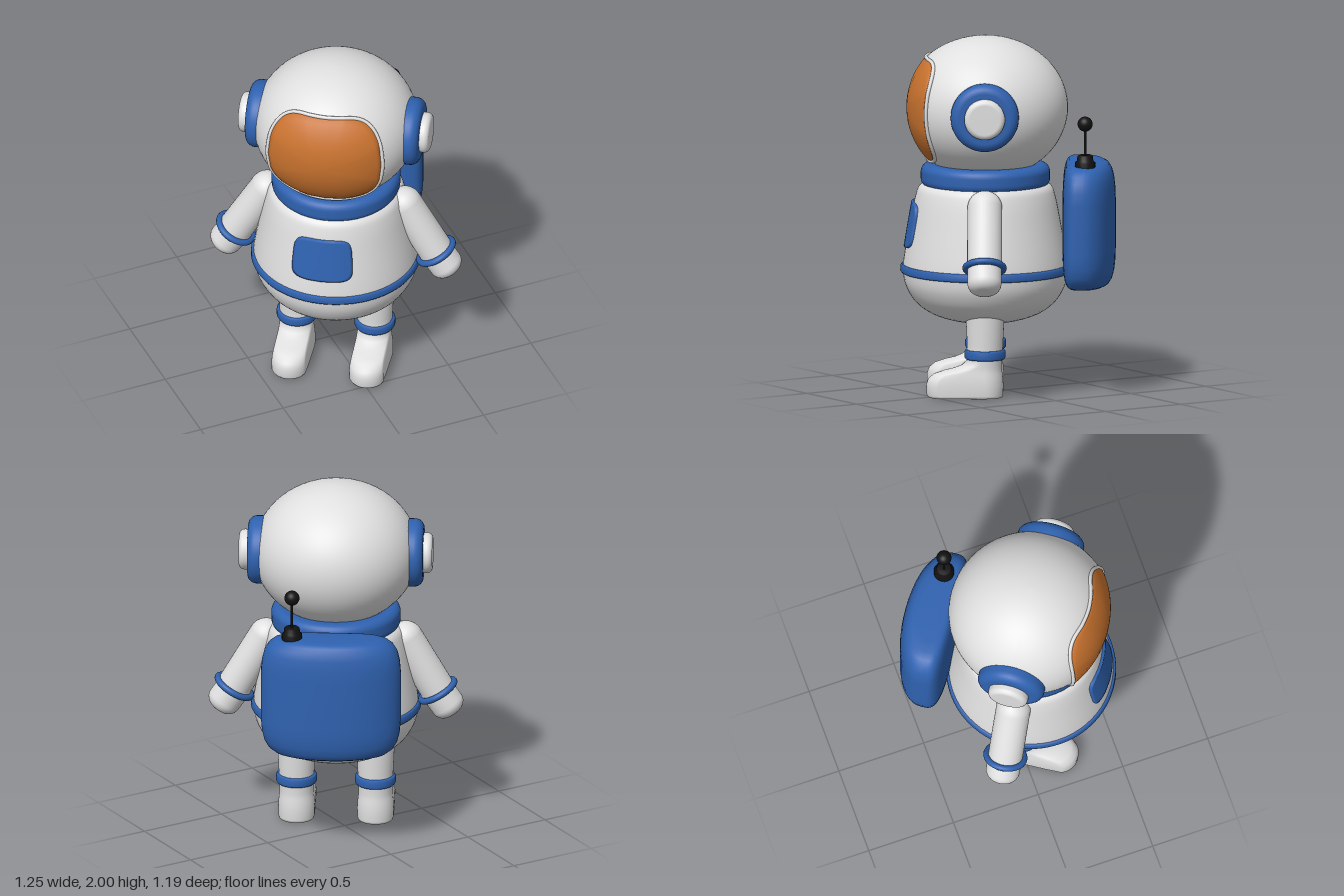
import * as THREE from 'three';

const mat = (name, color) => Object.assign(new THREE.MeshStandardMaterial({ color }), { name });

// Skin a list of closed rings (arrays of Vector3)
function loft(rings) {
  const n = rings[0].length, pos = [], idx = [];
  rings.forEach(r => r.forEach(p => pos.push(p.x, p.y, p.z)));
  for (let i = 0; i < rings.length - 1; i++) {
    for (let j = 0; j < n; j++) {
      const a = i * n + j, b = i * n + (j + 1) % n;
      idx.push(a, a + n, b, b, a + n, b + n);
    }
  }
  const g = new THREE.BufferGeometry();
  g.setAttribute('position', new THREE.Float32BufferAttribute(pos, 3));
  g.setIndex(idx);
  g.computeVertexNormals();
  return g;
}

const lathe = (pts, seg = 48) =>
  new THREE.LatheGeometry(pts.map(p => new THREE.Vector2(p[0], p[1])), seg);

// Rounded disc profile: radius, bottom, top, edge rounding
function roundedDisc(r, y0, y1, e) {
  const pts = [[0, y0]];
  for (let i = 0; i <= 6; i++) {
    const a = -Math.PI / 2 + i * Math.PI / 12;
    pts.push([r - e + e * Math.cos(a), y0 + e + e * Math.sin(a)]);
  }
  for (let i = 0; i <= 6; i++) {
    const a = i * Math.PI / 12;
    pts.push([r - e + e * Math.cos(a), y1 - e + e * Math.sin(a)]);
  }
  pts.push([0, y1]);
  return lathe(pts);
}

const se = (v, e) => Math.sign(v) * Math.pow(Math.abs(v), 2 / e);

// Rounded rectangular ring on a curved surface
function patchRing(surface, halfAz, y, halfY, k, off, n = 72) {
  return Array.from({ length: n }, (_, j) => {
    const t = j / n * Math.PI * 2;
    return surface(halfAz * k * se(Math.cos(t), 5), y + halfY * k * se(Math.sin(t), 5), off);
  });
}

function patch(surface, halfAz, y, halfY, off) {
  const rings = [];
  for (let i = 0; i <= 12; i++) rings.push(patchRing(surface, halfAz, y, halfY, i / 12, off));
  rings.push(patchRing(surface, halfAz, y, halfY, 1.01, -0.01));
  return loft(rings);
}

// Head ellipsoid, slightly flattened at the face
const flatten = z => (z > 0.32 ? 0.32 + (z - 0.32) * 0.8 : z);
function headSurface(az, y, off) {
  const r = 0.46 * Math.sqrt(Math.max(0, 1 - ((y - 1.6) / 0.4) ** 2)) + off;
  return new THREE.Vector3(r * Math.sin(az), y, flatten(r * Math.cos(az)) + off * 0.3);
}
function chestSurface(az, y, off) {
  const r = 0.455 + (0.75 - y) * 0.17 + off;
  return new THREE.Vector3(r * Math.sin(az), y, r * Math.cos(az));
}

export function createModel() {
  const white = mat('suit white', 0xe0e0e0);
  const blue = mat('trim blue', 0x2f62b0);
  const orange = mat('visor orange', 0xc8722e);
  const black = mat('antenna black', 0x121212);

  const model = new THREE.Group();
  model.name = 'astronaut';
  const body = new THREE.Group();
  body.name = 'body';
  body.position.set(-0.02, 0, 0.127);
  body.rotation.y = -34 * Math.PI / 180;
  model.add(body);

  const add = (name, geo, material, x = 0, y = 0, z = 0, rz = 0) => {
    const m = new THREE.Mesh(geo, material);
    m.name = name;
    m.position.set(x, y, z);
    m.rotation.z = rz;
    body.add(m);
    return m;
  };

  // Helmet
  const head = new THREE.SphereGeometry(1, 64, 40);
  head.scale(0.46, 0.4, 0.46);
  const hp = head.attributes.position;
  for (let i = 0; i < hp.count; i++) hp.setZ(i, flatten(hp.getZ(i)));
  head.computeVertexNormals();
  add('helmet', head, white, 0, 1.6, 0);

  // Visor and its rim
  add('visor', patch(headSurface, 0.765, 1.595, 0.28, 0.007), orange);
  const rim = new THREE.CatmullRomCurve3(patchRing(headSurface, 0.765, 1.595, 0.28, 1.02, 0.004), true);
  add('visorRim', new THREE.TubeGeometry(rim, 144, 0.011, 8, true), white);

  // Torso, collar, belt and chest panel
  const torsoCurve = new THREE.SplineCurve([
    [0, 0.39], [0.15, 0.4], [0.29, 0.44], [0.385, 0.505], [0.44, 0.59], [0.458, 0.67],
    [0.455, 0.75], [0.42, 0.95], [0.39, 1.1], [0.36, 1.165], [0.28, 1.2],
  ].map(p => new THREE.Vector2(p[0], p[1])));
  const torsoPts = torsoCurve.getPoints(44);
  torsoPts[0].x = 0;
  add('torso', new THREE.LatheGeometry(torsoPts, 64), white);
  add('collar', roundedDisc(0.36, 1.155, 1.285, 0.045), blue);
  add('belt', lathe([[0.44, 0.673], [0.468, 0.675], [0.474, 0.685], [0.472, 0.712], [0.465, 0.721], [0.44, 0.723]], 64), blue);
  add('chestPanel', patch(chestSurface, 0.40, 0.945, 0.125, 0.012), blue);

  // Backpack: bowed outline, rounded top and bottom
  const packRing = (y, k) => Array.from({ length: 48 }, (_, j) => {
    const t = j / 48 * Math.PI * 2, c = Math.cos(t), s = Math.sin(t);
    const e = s > 0 ? 4 : 2.1;
    return new THREE.Vector3(0.39 * k * se(c, e), y, -0.54 + (s > 0 ? 0.11 : 0.186) * k * se(s, e));
  });
  const packHalf = [[0.35, 0], [0.349, 0.5], [0.345, 0.68], [0.332, 0.8], [0.305, 0.89], [0.265, 0.95], [0.21, 0.985], [0.14, 1]];
  const packLevels = [...packHalf.map(([h, k]) => [0.95 - h, k]), ...packHalf.map(([h, k]) => [0.95 + h, k]).reverse()];
  add('backpack', loft(packLevels.map(([y, k]) => packRing(y, k))), blue);

  // Antenna
  const ax = 0.216, az = -0.557;
  add('antennaBase', lathe([[0.057, 1.27], [0.057, 1.32], [0.046, 1.328], [0.043, 1.355], [0.035, 1.362], [0, 1.362]], 20), black, ax, 0, az);
  add('antennaRod', new THREE.CylinderGeometry(0.007, 0.007, 0.19, 10), black, ax, 1.44, az);
  add('antennaBall', new THREE.SphereGeometry(0.042, 24, 16), black, ax, 1.535, az);

  // Boot and leg: stadium rings, toe reach changes with height
  const bootRing = (y, r, reach, k = 1) => Array.from({ length: 40 }, (_, j) => {
    const t = j / 40 * Math.PI * 2, s = Math.sin(t);
    const stretch = s > 1e-6 ? reach - r : 0;
    const blend = Math.min(1, Math.max(0, s) * 4);
    return new THREE.Vector3(r * k * Math.cos(t), y, 0.08 + (r * s + stretch * blend - 0.08) * k);
  });
  const boot = loft([
    bootRing(0, 0.1, 0.32, 0), bootRing(0, 0.095, 0.31, 0.95), bootRing(0.001, 0.096, 0.315), bootRing(0.015, 0.101, 0.325),
    bootRing(0.07, 0.102, 0.328), bootRing(0.105, 0.1, 0.315), bootRing(0.13, 0.097, 0.285),
    bootRing(0.147, 0.095, 0.235), bootRing(0.16, 0.094, 0.18), bootRing(0.18, 0.094, 0.13),
    bootRing(0.21, 0.095, 0.1), bootRing(0.3, 0.1, 0.1), bootRing(0.46, 0.108, 0.108),
  ]);

  // Paired parts
  const armDir = Math.atan2(0.18, 0.31), handDir = Math.atan2(0.1, 0.145);
  for (const s of [1, -1]) {
    const side = s > 0 ? 'left' : 'right';
    add(side + 'EarPad', roundedDisc(0.19, 0.36, 0.49, 0.05), blue, 0, 1.6, 0, -s * Math.PI / 2);
    add(side + 'EarCap', roundedDisc(0.113, 0.42, 0.54, 0.03), white, 0, 1.6, 0, -s * Math.PI / 2);

    add(side + 'Arm', new THREE.CapsuleGeometry(0.097, 0.34, 10, 32), white, s * 0.475, 0.94, 0, s * armDir);
    add(side + 'Hand', roundedDisc(0.095, -0.15, 0.08, 0.06), white, s * 0.57, 0.77, 0, s * handDir);
    const cuff = new THREE.TorusGeometry(0.106, 0.018, 12, 48);
    cuff.rotateX(Math.PI / 2);
    add(side + 'Cuff', cuff, blue, s * 0.567, 0.775, 0, s * armDir);

    add(side + 'Leg', boot, white, s * 0.22);
    add(side + 'AnkleBand', lathe([[0.09, 0.213], [0.108, 0.215], [0.114, 0.225], [0.114, 0.257], [0.108, 0.267], [0.09, 0.269]]), blue, s * 0.22);
  }
  return model;
}
